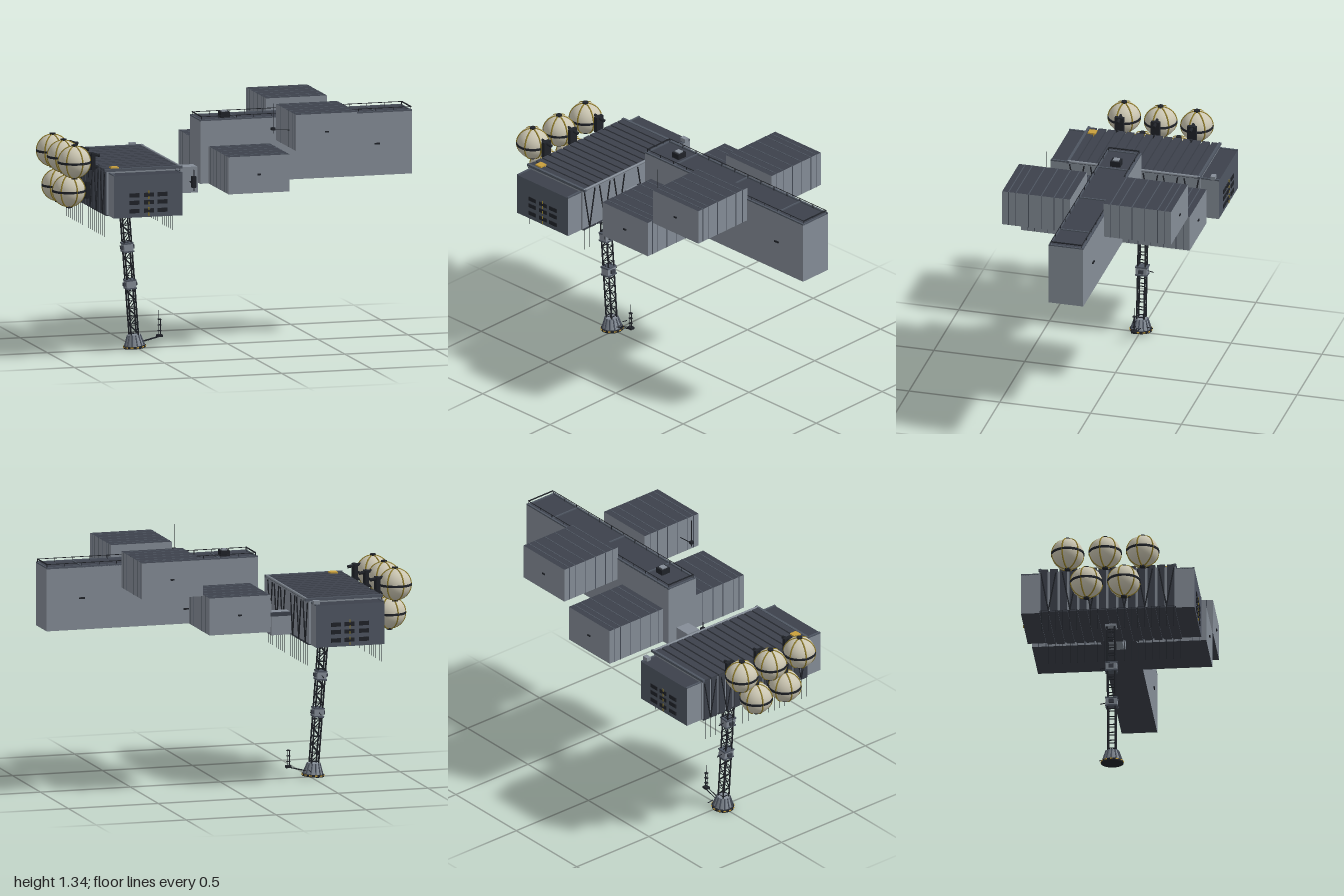
import * as THREE from 'three';

const mat = (name, color) => {
  const m = new THREE.MeshStandardMaterial({ color });
  m.name = name;
  return m;
};

export function createModel() {
  const grey = mat('hull grey', 0x858d97);
  const dark = mat('dark panel', 0x3c414b);
  const slate = mat('slate panel', 0x4f5662);
  const black = mat('black metal', 0x202329);
  const cream = mat('tank cream', 0xcbc6b2);
  const yellow = mat('strap yellow', 0x8f7c2c);
  const amber = mat('amber marking', 0xc9a03c);
  const model = new THREE.Group();
  const Y = new THREE.Vector3(0, 1, 0);

  const group = (name, parent = model) => {
    const g = new THREE.Group();
    g.name = name;
    parent.add(g);
    return g;
  };
  const add = (parent, name, geo, material, x = 0, y = 0, z = 0) => {
    const m = new THREE.Mesh(geo, material);
    m.name = name;
    m.position.set(x, y, z);
    parent.add(m);
    return m;
  };
  // Box given by its low and high limits on each axis
  const box = (parent, name, material, x0, x1, y0, y1, z0, z1) =>
    add(parent, name, new THREE.BoxGeometry(x1 - x0, y1 - y0, z1 - z0), material,
      (x0 + x1) / 2, (y0 + y1) / 2, (z0 + z1) / 2);
  const block = (parent, name, material, w, h, d, x, y, z) =>
    add(parent, name, new THREE.BoxGeometry(w, h, d), material, x, y, z);
  // Thin bar between two points
  const bar = (parent, name, material, a, b, r = 0.0025, sides = 5) => {
    const p = new THREE.Vector3(...a), q = new THREE.Vector3(...b);
    const m = add(parent, name, new THREE.CylinderGeometry(r, r, p.distanceTo(q), sides), material);
    m.position.copy(p).add(q).multiplyScalar(0.5);
    m.quaternion.setFromUnitVectors(Y, q.sub(p).normalize());
    return m;
  };
  const sides = [-1, 1];
  const hull = [grey, grey, dark, dark, grey, grey];

  // Long spine module with top frame, seams and rails
  const spine = group('spine');
  box(spine, 'spineHull', hull, -0.18, 0.995, 0.885, 1.222, -0.095, 0.095);
  for (const s of sides) {
    block(spine, 'topFrame', slate, 1.175, 0.01, 0.01, 0.4075, 1.225, s * 0.09);
    bar(spine, 'topRail', black, [-0.17, 1.244, s * 0.085], [0.99, 1.244, s * 0.085], 0.002);
    for (let i = 0; i <= 12; i++) {
      const x = -0.17 + i * 1.16 / 12;
      bar(spine, 'railPost', black, [x, 1.22, s * 0.085], [x, 1.244, s * 0.085], 0.002);
    }
    for (const [x, y] of [[0.03, 0.99], [0.22, 0.965], [0.8, 1.055]])
      block(spine, 'handle', black, 0.03, 0.009, 0.008, x, y, s * 0.097);
  }
  for (const x of [-0.175, 0.03, 0.405, 0.795, 0.99])
    block(spine, 'topSeam', slate, 0.008, 0.008, 0.18, x, 1.224, 0);
  for (const x of [-0.17, 0.99])
    bar(spine, 'endRail', black, [x, 1.244, -0.085], [x, 1.244, 0.085], 0.004);
  block(spine, 'roofHatch', black, 0.05, 0.03, 0.055, -0.02, 1.238, 0);
  block(spine, 'hatchLid', grey, 0.032, 0.006, 0.032, -0.02, 1.256, 0);

  // Four container modules, a lower and an upper pair
  for (const s of sides)
    for (const [name, x, y0, y1] of [['lowerContainer', 0.035, 0.885, 1.085], ['upperContainer', 0.41, 1.1, 1.295]]) {
      const g = group(name);
      const h = y1 - y0, y = (y0 + y1) / 2;
      block(g, 'containerHull', hull, 0.338, h, 0.373, x, y, s * 0.2785);
      for (const z of [0.13, 0.18, 0.25, 0.32, 0.39, 0.43]) {
        for (const e of sides) block(g, 'sideSeam', slate, 0.002, h, 0.004, x + e * 0.169, y, s * z);
        block(g, 'topSeam', slate, 0.338, 0.003, 0.005, x, y1, s * z);
      }
      block(g, 'handle', black, 0.02, 0.008, 0.01, x, y, s * 0.466);
    }

  // Cabin with ribbed roof and floor
  const cabin = group('cabin');
  box(cabin, 'cabinHull', hull, -0.78, -0.38, 0.79, 1.02, -0.365, 0.365);
  for (let i = 0; i < 14; i++) {
    const z = -0.338 + i * 0.052;
    block(cabin, 'roofRib', dark, 0.412, 0.014, 0.042, -0.58, 1.025, z);
    block(cabin, 'floorRib', dark, 0.405, 0.01, 0.042, -0.58, 0.788, z);
    block(cabin, 'backRib', dark, 0.012, 0.23, 0.038, -0.782, 0.905, z);
  }
  bar(cabin, 'roofEdgeRail', grey, [-0.37, 1.03, -0.365], [-0.37, 1.03, 0.365], 0.007, 8);
  block(cabin, 'roofMarker', amber, 0.042, 0.02, 0.042, -0.727, 1.03, 0.325);
  block(cabin, 'cornerLamp', grey, 0.035, 0.02, 0.025, -0.4, 1.025, -0.43);
  for (const s of sides) {
    // End blocks with louvres and a dashed centre marking
    box(cabin, 'endBlock', [grey, grey, dark, dark, slate, slate],
      -0.77, -0.39, 0.785, 1.012, Math.min(s * 0.365, s * 0.463), Math.max(s * 0.365, s * 0.463));
    for (const e of sides) block(cabin, 'roofTrim', slate, 0.01, 0.008, 0.098, -0.58 + e * 0.185, 1.013, s * 0.414);
    block(cabin, 'roofLip', slate, 0.43, 0.014, 0.014, -0.575, 1.028, s * 0.36);
    for (const x of [-0.655, -0.575, -0.5])
      for (const y of [0.82, 0.865, 0.905]) block(cabin, 'louvre', black, 0.055, 0.022, 0.006, x, y, s * 0.464);
    for (let y = 0.8; y < 0.94; y += 0.03) block(cabin, 'dash', yellow, 0.006, 0.016, 0.004, -0.577, y, s * 0.467);
    // V braces and hanging rods
    for (const x of [-0.375, -0.788])
      for (const c of [0.315, 0.2, 0.09]) {
        for (const e of sides) bar(cabin, 'vBrace', black, [x, 0.79, s * c], [x, 1.01, s * c + e * 0.04], 0.004);
        for (const e of [-1, 0, 1])
          bar(cabin, 'hangingRod', black, [x, 0.79, s * c + e * 0.037], [x, 0.67, s * c + e * 0.037], 0.0012, 4);
      }
  }

  // Stepped connector between cabin and spine
  const link = group('connector');
  box(link, 'lowerStep', grey, -0.385, -0.27, 0.785, 0.905, -0.045, 0.04);
  box(link, 'upperStep', grey, -0.272, -0.175, 0.83, 0.97, -0.04, 0.04);
  block(link, 'topDuct', dark, 0.15, 0.02, 0.018, -0.3, 0.9, -0.055);
  bar(link, 'sensorArm', black, [-0.22, 0.89, 0.04], [-0.22, 0.89, 0.11], 0.004);
  block(link, 'sensorBox', black, 0.024, 0.06, 0.024, -0.22, 0.9, 0.11);
  bar(link, 'sensorRod', black, [-0.22, 0.85, 0.11], [-0.22, 0.965, 0.11], 0.003);
  for (const y of [0.82, 0.87])
    bar(link, 'pipe', black, [-0.37, y, 0.115], [-0.33, y, 0.03], 0.004);

  // Strapped round tanks: three above, two below
  const R = 0.085;
  for (const [y, z] of [[1.055, -0.2], [1.055, 0], [1.055, 0.2], [0.885, -0.1], [0.885, 0.1]]) {
    const g = group('tank');
    g.position.set(-0.91, y, z);
    add(g, 'shell', new THREE.SphereGeometry(R, 28, 20), cream);
    const ring = new THREE.TorusGeometry(R, 0.0045, 5, 36);
    for (let i = 0; i < 3; i++)
      add(g, 'strap', ring, yellow).rotation.y = Math.PI / 4 + i * Math.PI / 3;
    add(g, 'equatorBand', new THREE.CylinderGeometry(R + 0.004, R + 0.004, 0.012, 32), black);
    for (const s of sides) {
      add(g, 'poleCap', new THREE.CylinderGeometry(0.016, 0.016, 0.012, 10), black, 0, s * (R + 0.002), 0);
      const a = 0.042;
      bar(g, 'mountPipe', black, [0.06, s * a, 0], [0.14, s * a * 0.7, 0], 0.009, 8);
    }
    block(g, 'mountPlate', black, 0.02, 0.09, 0.05, 0.1, 0, 0);
  }

  // Leaning lattice mast
  const mast = group('mast');
  mast.position.set(-0.515, 0.005, 0);
  mast.rotation.z = 0.077;
  const w = 0.02;
  for (const sx of sides)
    for (const sz of sides) bar(mast, 'mastLeg', black, [sx * w, 0.06, sz * w], [sx * w, 0.79, sz * w], 0.0045, 6);
  for (let i = 0; i < 16; i++) {
    const y = 0.08 + i * 0.045, f = i % 2 ? 1 : -1;
    for (const s of sides) {
      bar(mast, 'rung', black, [s * w, y, -w], [s * w, y, w], 0.003);
      bar(mast, 'crossRung', black, [-w, y, s * w], [w, y, s * w], 0.002);
      if (i < 15) bar(mast, 'diagonal', black, [-f * w, y, s * w], [f * w, y + 0.045, s * w], 0.0028);
    }
  }
  for (const y of [0.345, 0.545]) {
    block(mast, 'mastBox', grey, 0.05, 0.05, 0.06, 0, y, 0);
    for (const s of sides) {
      block(mast, 'boxFlange', slate, 0.056, 0.008, 0.066, 0, y + s * 0.022, 0);
      block(mast, 'boxSide', dark, 0.074, 0.02, 0.026, 0, y, 0);
    }
    bar(mast, 'boxHook', black, [0, y, -0.03], [0, y - 0.006, -0.062], 0.0025);
  }
  block(mast, 'mastHead', grey, 0.06, 0.014, 0.06, 0, 0.778, 0);

  // Flared foot with gussets and a marked rim
  add(mast, 'foot', new THREE.CylinderGeometry(0.034, 0.05, 0.058, 12), grey, 0, 0.041, 0);
  add(mast, 'footRim', new THREE.CylinderGeometry(0.06, 0.06, 0.012, 24), black, 0, 0.006, 0);
  for (let i = 0; i < 12; i++) {
    const a = i * Math.PI / 6, c = Math.cos(a), s = Math.sin(a);
    block(mast, 'rimMark', amber, 0.006, 0.006, 0.014, c * 0.059, 0.008, s * 0.059).rotation.y = -a;
    bar(mast, 'gusset', slate, [c * 0.054, 0.012, s * 0.054], [c * 0.034, 0.07, s * 0.034], 0.004);
  }

  // Small outrigger with antenna at the foot
  const outrigger = group('outrigger');
  for (const z of [-0.008, 0.008])
    bar(outrigger, 'boom', black, [-0.475, 0.035, z], [-0.375, 0.06, z], 0.0025);
  block(outrigger, 'antennaBase', black, 0.03, 0.012, 0.025, -0.378, 0.062, 0);
  for (const x of [-0.385, -0.372]) bar(outrigger, 'antennaPost', black, [x, 0.06, 0], [x, 0.15, 0], 0.002);
  for (const y of [0.09, 0.12, 0.15]) block(outrigger, 'antennaStep', black, 0.018, 0.004, 0.016, -0.378, y, 0);
  bar(outrigger, 'antennaTip', black, [-0.382, 0.15, 0], [-0.382, 0.2, 0], 0.001);
  bar(outrigger, 'sideProbe', black, [-0.48, 0.045, -0.04], [-0.48, 0.04, -0.075], 0.0025);

  // Whip antenna beside the upper container
  const whip = group('whipAntenna');
  bar(whip, 'whipArm', black, [0.15, 1.2, 0.34], [0.245, 1.195, 0.34], 0.0025);
  block(whip, 'whipBase', black, 0.02, 0.014, 0.02, 0.15, 1.205, 0.34);
  bar(whip, 'whipRod', black, [0.15, 1.18, 0.34], [0.15, 1.34, 0.34], 0.0015);

  return model;
}
